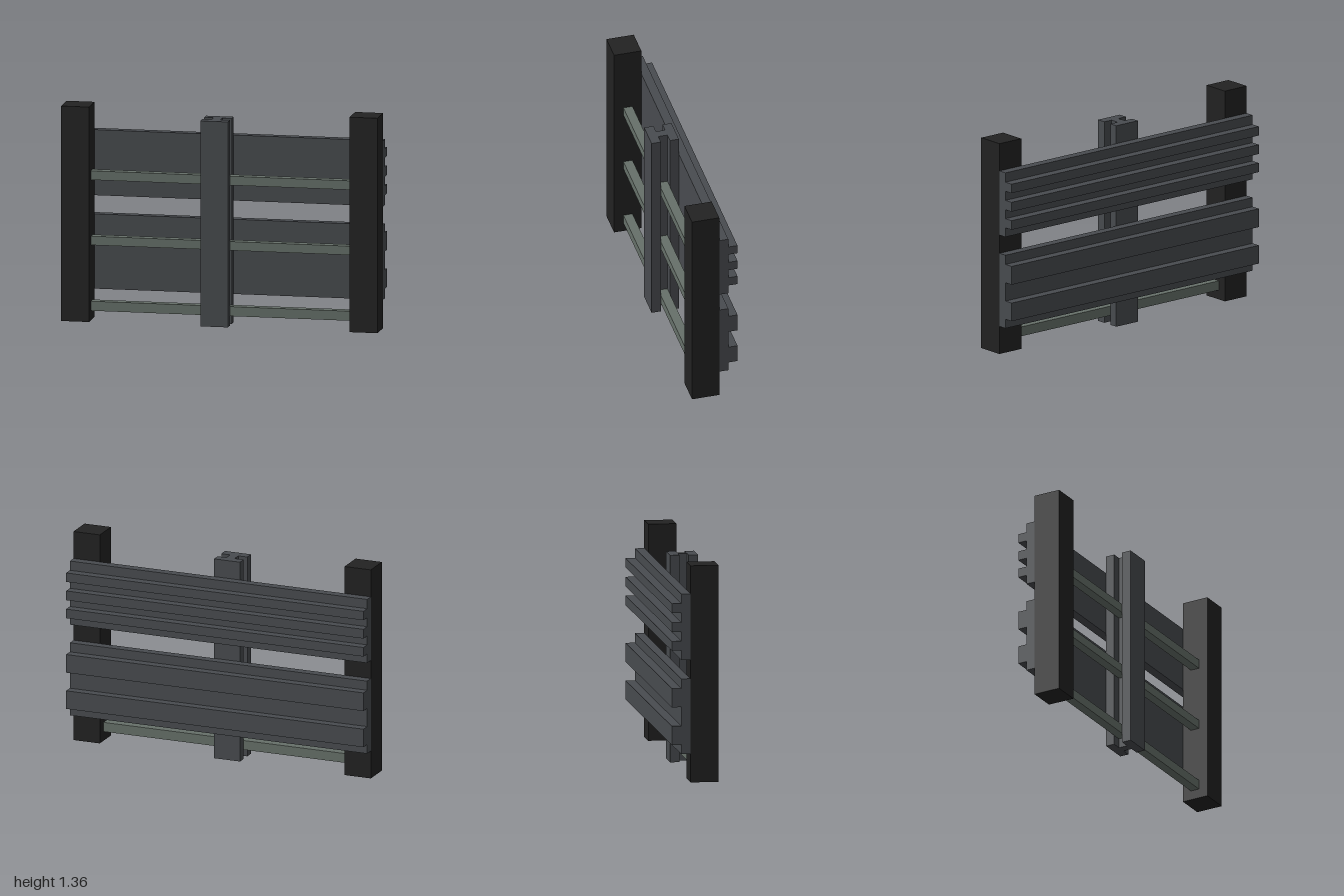
import * as THREE from 'three';

export function createModel() {
  const group = new THREE.Group();
  const postMat = new THREE.MeshStandardMaterial({ name: 'black post', color: 0x222222 });
  const steelMat = new THREE.MeshStandardMaterial({ name: 'dark grey steel', color: 0x484b4f });
  const railMat = new THREE.MeshStandardMaterial({ name: 'green grey rail', color: 0x667069 });

  function add(name, geometry, material) {
    const mesh = new THREE.Mesh(geometry, material);
    mesh.name = name;
    group.add(mesh);
    return mesh;
  }
  function extrude(points, depth) {
    const shape = new THREE.Shape(points.map(([a, b]) => new THREE.Vector2(a, b)));
    return new THREE.ExtrudeGeometry(shape, { depth, bevelEnabled: false });
  }

  // Square end posts
  for (const side of [1, -1]) {
    add(side > 0 ? 'leftPost' : 'rightPost', new THREE.BoxGeometry(0.177, 1.355, 0.175), postMat)
      .position.set(side * 0.9115, 0.6775, 0.0585);
  }

  // Central I-beam, its section extruded upward (section y is -z)
  const beam = extrude([
    [-0.12, -0.146], [0.055, -0.146], [0.055, -0.086], [-0.005, -0.086],
    [-0.005, -0.028], [0.055, -0.028], [0.055, 0.029], [-0.12, 0.029],
    [-0.12, -0.028], [-0.06, -0.028], [-0.06, -0.086], [-0.12, -0.086],
  ], 1.295);
  beam.rotateX(-Math.PI / 2);
  add('centreBeam', beam, steelMat);

  // Ribbed back panels, section (z, y) extruded along x
  function ribbedPanel(name, bottom, top, ribs) {
    const front = -0.029, back = -0.087, ribBack = -0.146;
    const points = [[front, bottom], [front, top], [back, top]];
    for (const [low, high] of ribs) {
      points.push([back, high], [ribBack, high], [ribBack, low], [back, low]);
    }
    points.push([back, bottom]);
    const geometry = extrude(points, 2);
    geometry.rotateY(-Math.PI / 2).translate(1, 0, 0);
    add(name, geometry, steelMat);
  }
  ribbedPanel('upperPanel', 0.767, 1.18, [[1.062, 1.12], [0.943, 1.003], [0.826, 0.885]]);
  ribbedPanel('lowerPanel', 0.178, 0.649, [[0.472, 0.59], [0.237, 0.354]]);

  // Thin rails from each post to the beam's web
  const railSpans = [['right', -0.823, -0.06], ['left', -0.005, 0.823]];
  const railLevels = [['Lower', 0.06, 0.12], ['Middle', 0.474, 0.53], ['Upper', 0.885, 0.942]];
  for (const [side, x0, x1] of railSpans) {
    for (const [level, y0, y1] of railLevels) {
      add(`${side}${level}Rail`, new THREE.BoxGeometry(x1 - x0, y1 - y0, 0.058), railMat)
        .position.set((x0 + x1) / 2, (y0 + y1) / 2, 0.057);
    }
  }
  return group;
}
